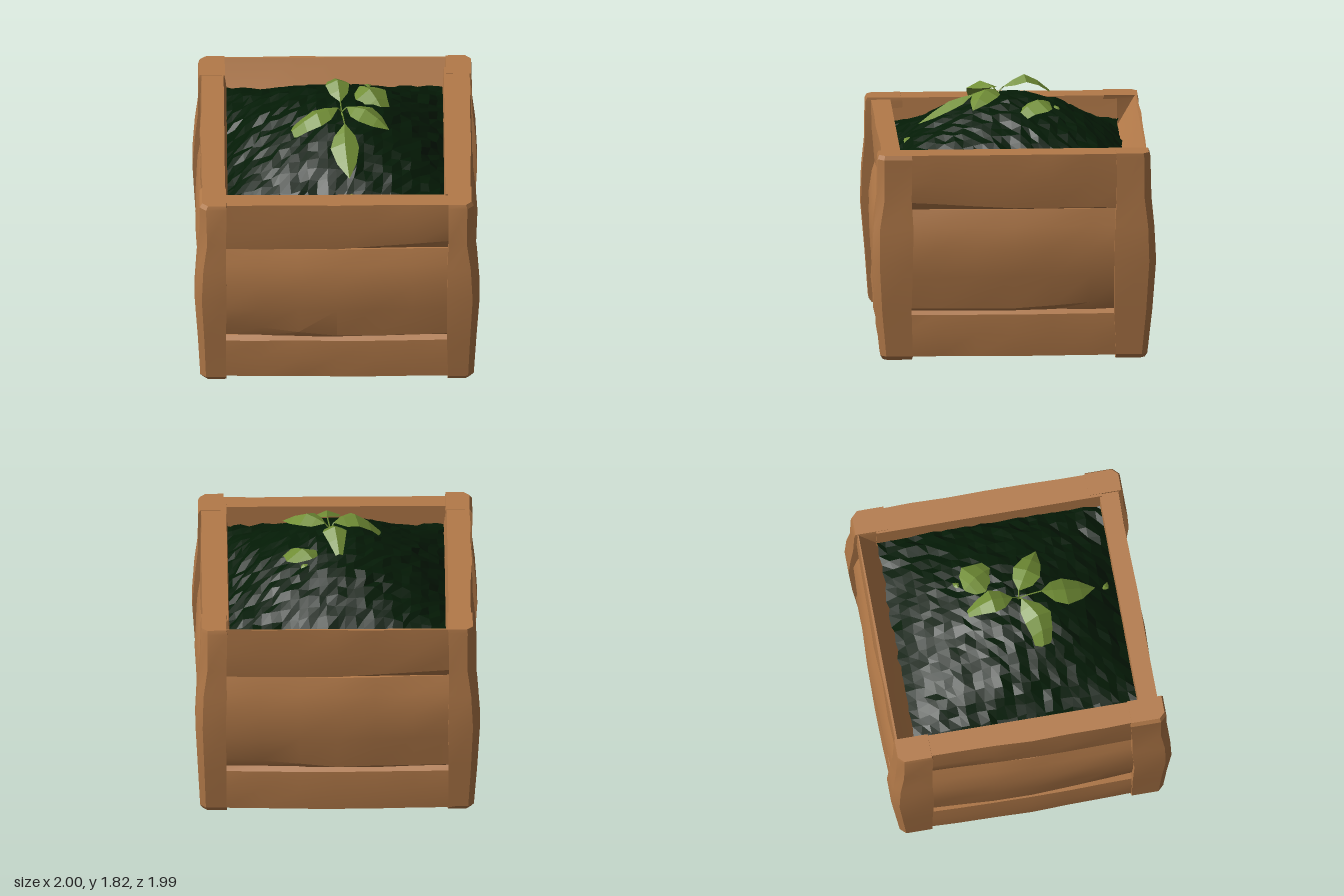
import * as THREE from 'three';
import { toCreasedNormals } from 'three/addons/utils/BufferGeometryUtils.js';

const wood = new THREE.MeshStandardMaterial({ color: 0xb37a49 });
const soilMat = new THREE.MeshStandardMaterial({ color: 0x041b06, flatShading: true });
const leafMat = new THREE.MeshStandardMaterial({ color: 0x728f36, flatShading: true, side: THREE.DoubleSide });

// repeatable value in -1..1
const noise = (a, b) => {
  const s = Math.sin(a * 127.1 + b * 311.7) * 43758.5453;
  return (s - Math.floor(s)) * 2 - 1;
};

function mesh(name, geometry, material) {
  const m = new THREE.Mesh(geometry, material);
  m.name = name;
  return m;
}

// Plank facing +z. rows: [y, outer z, inner z, chip]; a chip lifts the row
// towards the right end if positive, towards the left end if negative
function plank(name, half, rows, bulge, seed) {
  const n = rows.length - 1;
  const g = new THREE.BoxGeometry(1, 1, 1, 6, n, 1);
  const p = g.attributes.position;
  for (let i = 0; i < p.count; i++) {
    const u = p.getX(i) * 2;
    const r = Math.round((p.getY(i) + 0.5) * n);
    const [y, outer, inner, chip = 0] = rows[r];
    const wobble = 0.006 * noise(Math.round(u * 3) + seed, r);
    const z = p.getZ(i) > 0 ? outer + bulge * (1 - Math.abs(u)) + wobble : inner;
    p.setXYZ(i, u * half, y + Math.abs(chip) * Math.max(0, u * Math.sign(chip)), z);
  }
  return mesh(name, toCreasedNormals(g, 0.35), wood);
}

// One wall of three planks
function wall({ name, inner, innerTop = inner, innerLow = inner, top, shift, chips, turn, seed }) {
  const d = (v) => v + shift;
  const innerMid = (innerTop + innerLow) / 2;
  const [low, high] = chips;
  const g = new THREE.Group();
  g.name = name;
  g.add(
    plank('lowerPlank', 0.8, [
      [0.022, d(0.925), inner], [0.18, d(0.935), inner], [0.32, d(0.925), inner], [0.35, d(0.895), inner],
    ], 0.015, seed),
    plank('middlePlank', 0.8, [
      [0.34, d(0.885), inner], [0.365, d(0.915), inner, low], [0.6, d(0.945), inner],
      [0.8, d(0.95), inner], [0.95, d(0.93), inner], [1.07, d(0.89), inner],
    ], 0.03, seed + 20),
    plank('upperPlank', 0.8, [
      [1.065, d(0.88), innerLow], [1.08, d(0.915), innerLow, high],
      [1.27, d(0.935), innerMid], [top, d(0.93), innerTop],
    ], 0.01, seed + 40),
  );
  g.rotation.y = turn;
  return g;
}

// Corner post lofted from five-sided sections: [y, outer x, outer z, chamfer]
function post(name, sx, sz, seed) {
  const sections = [
    [0, 0.935, 0.915, 0.03], [0.03, 0.955, 0.935, 0.04], [0.35, 0.975, 0.965, 0.045], [0.7, 0.995, 0.995, 0.05],
    [0.95, 0.98, 0.985, 0.045], [1.15, 0.955, 0.96, 0.05], [1.44, 0.955, 0.955, 0.045], [1.47, 0.945, 0.945, 0.04],
  ];
  const pos = [], idx = [];
  sections.forEach(([y, ox, oz, c], k) => {
    const x = ox + 0.005 * noise(k, seed), z = oz + 0.005 * noise(k, seed + 9);
    const inX = 0.775 + 0.006 * noise(k, seed + 5), inZ = 0.71 + 0.01 * noise(k, seed + 7);
    const loop = [[inX, inZ], [inX, z], [x - c, z], [x, z - c], [x, inZ]];
    if (sx * sz < 0) loop.reverse();
    loop.forEach(([a, b]) => pos.push(a * sx, y, b * sz));
  });
  for (let k = 0; k < sections.length - 1; k++) {
    for (let j = 0; j < 5; j++) {
      const a = k * 5 + j, b = k * 5 + (j + 1) % 5;
      idx.push(a, b, b + 5, a, b + 5, a + 5);
    }
  }
  const t = (sections.length - 1) * 5;
  for (let j = 1; j < 4; j++) idx.push(0, j + 1, j, t, t + j, t + j + 1);
  const g = new THREE.BufferGeometry();
  g.setAttribute('position', new THREE.Float32BufferAttribute(pos, 3));
  g.setIndex(idx);
  return mesh(name, toCreasedNormals(g, 0.4), wood);
}

// Folded leaf along a base, middle and tip; blunt is the width kept at the tip
function leaf(base, mid, tip, width, blunt = 0.02) {
  const [a, b, c] = [base, mid, tip].map((v) => new THREE.Vector3(...v));
  const spine = new THREE.CatmullRomCurve3([a, b, c]);
  const side = new THREE.Vector3(c.z - a.z, 0, a.x - c.x).normalize();
  const stations = [[0, 0.08], [0.22, 0.75], [0.48, 1], [0.75, Math.max(0.68, blunt + 0.2)], [1, blunt]];
  const pos = [], idx = [];
  stations.forEach(([t, w], k) => {
    const p = spine.getPoint(t);
    for (const s of [-1, 0, 1]) {
      const q = p.clone().addScaledVector(side, s * w * width / 2);
      pos.push(q.x, q.y - Math.abs(s) * w * width * 0.22, q.z);
    }
    if (!k) return;
    for (const j of [0, 1]) {
      const o = k * 3 + j;
      idx.push(o - 3, o - 2, o + 1, o - 3, o + 1, o);
    }
  });
  const g = new THREE.BufferGeometry();
  g.setAttribute('position', new THREE.Float32BufferAttribute(pos, 3));
  g.setIndex(idx);
  g.computeVertexNormals();
  return mesh('leaf', g, leafMat);
}

export function createModel() {
  const model = new THREE.Group();
  model.name = 'planter';

  // Crate walls, floor and corner posts
  model.add(
    wall({ name: 'frontWall', inner: 0.785, top: 1.455, shift: -0.015, chips: [-0.09, 0.06], turn: 0, seed: 1 }),
    wall({ name: 'leftWall', inner: 0.76, innerLow: 0.74, top: 1.467, shift: 0.005, chips: [0.05, -0.05], turn: Math.PI / 2, seed: 2 }),
    wall({ name: 'backWall', inner: 0.78, innerTop: 0.925, innerLow: 0.7, top: 1.467, shift: 0.005, chips: [-0.06, 0.05], turn: Math.PI, seed: 3 }),
    wall({ name: 'rightWall', inner: 0.78, innerLow: 0.73, top: 1.467, shift: 0.005, chips: [0.06, -0.05], turn: -Math.PI / 2, seed: 4 }),
  );
  const core = mesh('floor', new THREE.BoxGeometry(1.7, 0.8, 1.7), wood);
  core.position.y = 0.425;
  model.add(core);
  for (const sx of [-1, 1]) {
    for (const sz of [-1, 1]) {
      model.add(post((sz > 0 ? 'front' : 'back') + (sx > 0 ? 'Left' : 'Right') + 'Post', sx, sz, sx * 2 + sz + 5));
    }
  }

  // Mounded, crumbly soil filling the crate to its corners
  const soil = new THREE.PlaneGeometry(1.56, 1.6, 24, 24).rotateX(-Math.PI / 2);
  const p = soil.attributes.position;
  for (let i = 0; i < p.count; i++) {
    const x = p.getX(i), z = p.getZ(i);
    const y = 1.3 + 0.37 * (1 - (x / 0.78) ** 2) * (1 - (z / 0.8) ** 2);
    p.setXYZ(i, x + 0.012 * noise(i, 1), y + 0.016 * noise(i, 3), z + 0.012 * noise(i, 2));
  }
  model.add(mesh('soil', soil, soilMat));

  // Seedling: [base, middle, tip, width, blunt]
  const plant = new THREE.Group();
  plant.name = 'seedling';
  const leaves = [
    [[0.03, 1.74, 0.03], [0.01, 1.82, -0.12], [-0.02, 1.7, -0.29], 0.17, 0.3],
    [[0.06, 1.69, 0.25], [0.06, 1.64, 0.42], [0.09, 1.49, 0.63], 0.2],
    [[0.01, 1.73, 0.1], [-0.14, 1.74, 0.19], [-0.31, 1.6, 0.2], 0.2, 0.6],
    [[0.08, 1.73, 0.09], [0.21, 1.76, 0.17], [0.37, 1.65, 0.26], 0.2],
    [[0.17, 1.66, -0.28], [0.24, 1.69, -0.19], [0.33, 1.6, -0.05], 0.27, 0.5],
    [[0.1, 1.4, 0.69], [0.12, 1.4, 0.71], [0.16, 1.37, 0.73], 0.05],
    [[0.2, 1.64, -0.32], [0.23, 1.64, -0.33], [0.25, 1.62, -0.35], 0.04],
  ];
  leaves.forEach((l) => plant.add(leaf(...l)));
  // Thin stalks rising from the soil
  leaves.slice(0, 4).forEach(([b]) => {
    const curve = new THREE.CatmullRomCurve3([
      new THREE.Vector3(0.04, 1.62, 0.08), new THREE.Vector3(0.04, 1.68, 0.08), new THREE.Vector3(...b),
    ]);
    plant.add(mesh('stalk', new THREE.TubeGeometry(curve, 4, 0.005, 4), leafMat));
  });
  model.add(plant);
  return model;
}
